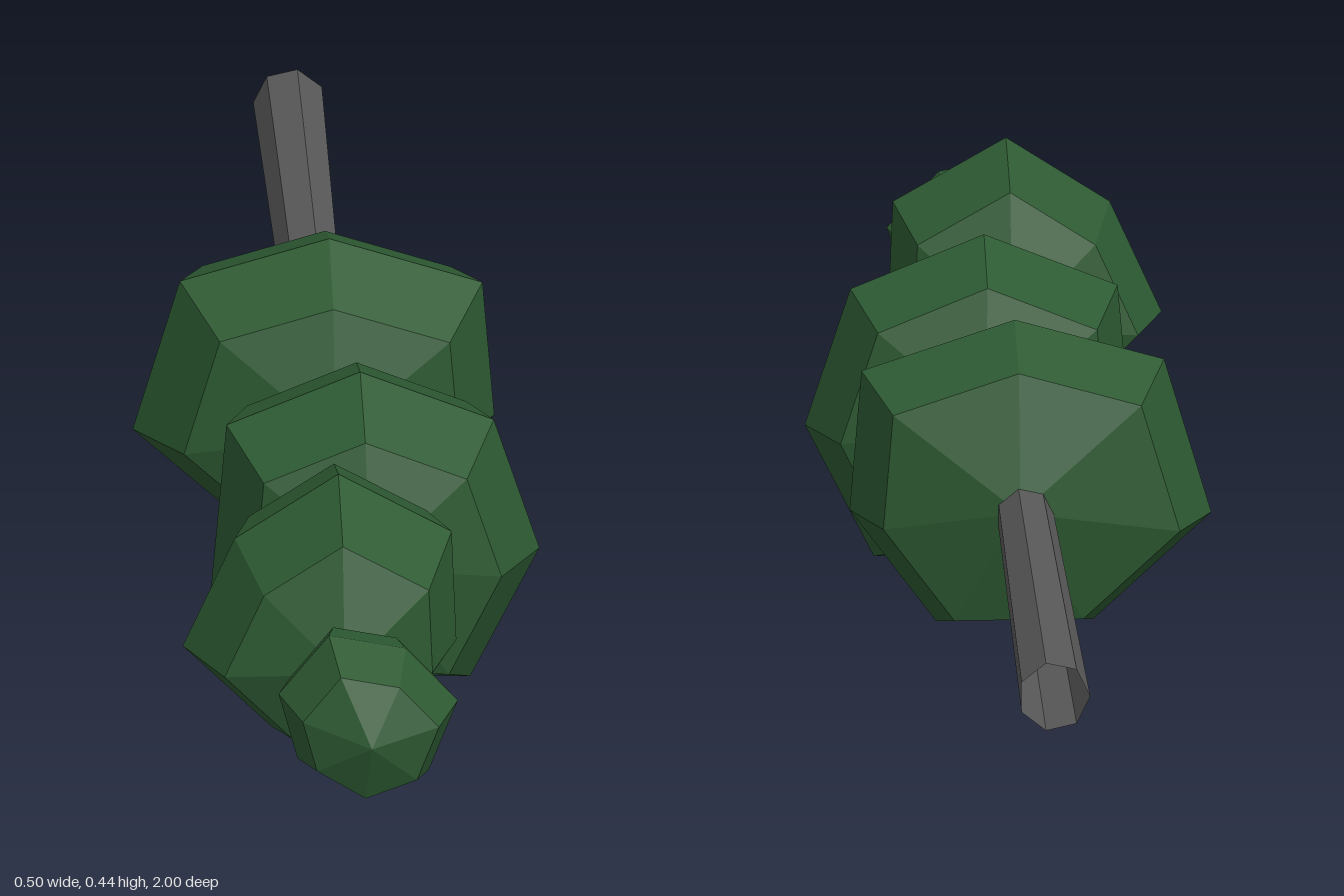
import * as THREE from 'three';

const green = new THREE.MeshStandardMaterial({ color: 0x2d5a32, flatShading: true });
const grey = new THREE.MeshStandardMaterial({ color: 0x585858, flatShading: true, side: THREE.DoubleSide });

// Irregular seven-sided clumps: pole position, z centre, half depth, widest outline (counter-clockwise)
const CLUMPS = [
  { name: 'largeRearFoliage', x: 0, y: 0.23, z: -0.1, depth: 0.152,
    rim: [[0.21, 0.19], [0.195, 0.375], [0, 0.44], [-0.19, 0.385], [-0.25, 0.18], [-0.1, 0.04], [0.1, 0.04]] },
  { name: 'middleFoliage', x: 0.025, y: 0.225, z: 0.29, depth: 0.157,
    rim: [[0.248, 0.18], [0.19, 0.36], [0.02, 0.43], [-0.15, 0.36], [-0.17, 0.13], [-0.03, 0.01], [0.16, 0.003]] },
  { name: 'frontFoliage', x: -0.025, y: 0.24, z: 0.64, depth: 0.162,
    rim: [[0.125, 0.213], [0.119, 0.364], [-0.025, 0.447], [-0.157, 0.36], [-0.223, 0.212], [-0.11, 0.097], [0.043, 0.088]] },
  { name: 'tipFoliage', x: 0, y: 0.225, z: 0.9, depth: 0.1,
    rim: [[0.114, 0.246], [0.048, 0.32], [-0.05, 0.34], [-0.114, 0.26], [-0.09, 0.17], [-0.009, 0.118], [0.077, 0.15]] },
];

// Reshape a 7 x 4 sphere so that its rings follow the given outline
function makeClump({ name, x, y, z, depth, rim }) {
  const sides = rim.length;
  const ringScale = [0, 0.76, 1, 0.82, 0];
  const geo = new THREE.SphereGeometry(1, sides, 4);
  const pos = geo.attributes.position;
  for (let i = 0; i < pos.count; i++) {
    const ring = Math.floor(i / (sides + 1));
    const [px, py] = rim[(i % (sides + 1)) % sides];
    const s = ringScale[ring];
    pos.setXYZ(i, x + (px - x) * s, y + (py - y) * s, z + depth * Math.cos((ring * Math.PI) / 4));
  }
  geo.computeVertexNormals();
  const mesh = new THREE.Mesh(geo, green);
  mesh.name = name;
  return mesh;
}

export function createModel() {
  const group = new THREE.Group();
  group.name = 'lyingTree';

  // Tapered, open-ended trunk running through the clumps
  const trunkGeo = new THREE.CylinderGeometry(0.024, 0.046, 1.88, 7, 1, true);
  trunkGeo.rotateY(-Math.PI / 2);
  trunkGeo.rotateX(Math.PI / 2);
  const trunk = new THREE.Mesh(trunkGeo, grey);
  trunk.name = 'trunk';
  trunk.position.set(-0.006, 0.224, -0.06);
  group.add(trunk);

  for (const clump of CLUMPS) group.add(makeClump(clump));
  return group;
}
